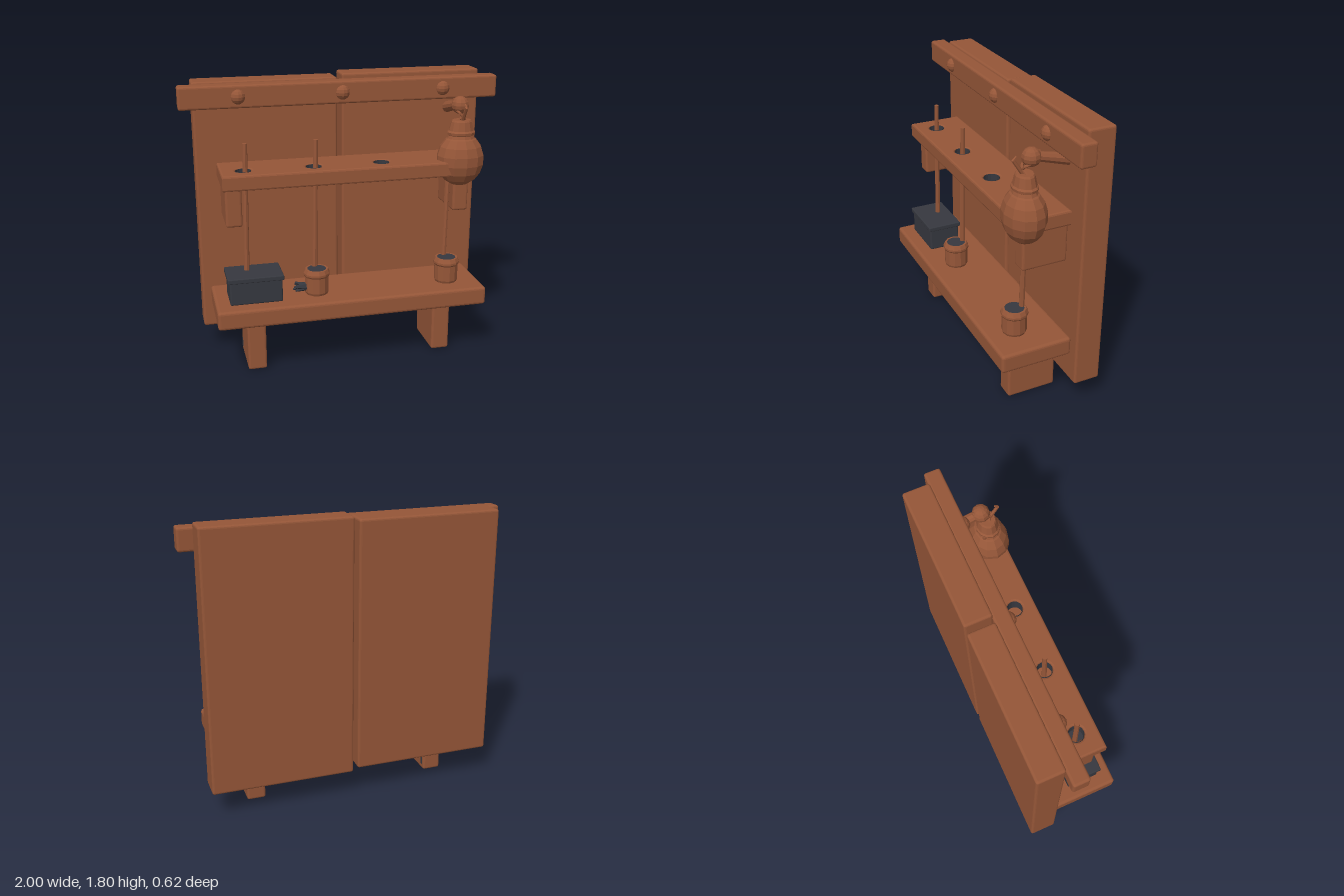
import * as THREE from 'three';
import { RoundedBoxGeometry } from 'three/addons/geometries/RoundedBoxGeometry.js';

export function createModel() {
  const model = new THREE.Group();
  model.name = 'wallRack';
  const wood = new THREE.MeshStandardMaterial({ color: 0x955638, flatShading: true });
  wood.name = 'wood';
  const dark = new THREE.MeshStandardMaterial({ color: 0x36383f, flatShading: true });
  dark.name = 'charcoal';
  const lining = dark.clone();
  lining.name = 'charcoal lining';
  lining.side = THREE.DoubleSide;

  const add = (name, geometry, material = wood, parent = model) => {
    const mesh = new THREE.Mesh(geometry, material);
    mesh.name = name;
    parent.add(mesh);
    return mesh;
  };
  // Rounded block given by its limits on each axis
  const block = (name, x0, x1, y0, y1, z0, z1, material = wood, r = 0.014) => {
    const mesh = add(name, new RoundedBoxGeometry(x1 - x0, y1 - y0, z1 - z0, 2, r), material);
    mesh.position.set((x0 + x1) / 2, (y0 + y1) / 2, (z0 + z1) / 2);
    return mesh;
  };
  // Straight tapered rod between two points
  const rod = (name, a, b, ra, rb, material = wood, sides = 8) => {
    const p = new THREE.Vector3(...a), q = new THREE.Vector3(...b);
    const d = q.clone().sub(p);
    const mesh = add(name, new THREE.CylinderGeometry(rb, ra, d.length(), sides), material);
    mesh.position.copy(p).add(q).multiplyScalar(0.5);
    mesh.quaternion.setFromUnitVectors(new THREE.Vector3(0, 1, 0), d.normalize());
    return mesh;
  };
  const lathe = (name, points, sides) =>
    add(name, new THREE.LatheGeometry(points.map(p => new THREE.Vector2(...p)), sides));

  // Back boards and top rail
  block('leftBoard', -0.912, -0.018, 0.19, 1.78, -0.31, -0.14);
  block('rightBoard', 0.012, 0.91, 0.17, 1.8, -0.31, -0.14);
  block('topRail', -1, 1, 1.63, 1.77, -0.145, -0.045);
  for (const x of [-0.645, -0.005, 0.64]) {
    add('railKnob', new THREE.SphereGeometry(0.048, 12, 8)).position.set(x, 1.7, -0.062);
  }

  // Bottom shelf and legs
  block('bottomShelf', -0.857, 0.852, 0.355, 0.473, -0.14, 0.31, wood, 0.018);
  for (const x of [-0.61, 0.603]) block('leg', x - 0.059, x + 0.059, 0, 0.36, -0.145, 0.172);
  block('legInset', -0.672, -0.548, 0.03, 0.09, -0.125, -0.1, dark, 0.005);

  // Upper shelf with tool holes
  const holeXs = [-0.645, -0.217, 0.21, 0.64], holeZ = 0.073, b = 0.012;
  const outline = new THREE.Shape();
  outline.moveTo(-0.785, -0.14).lineTo(0.785, -0.14).lineTo(0.785, 0.2).lineTo(-0.785, 0.2).closePath();
  for (const x of holeXs) {
    outline.holes.push(new THREE.Path().absarc(x, holeZ, 0.05, 0, Math.PI * 2, true));
  }
  const shelfGeometry = new THREE.ExtrudeGeometry(outline, {
    depth: 0.095 - 2 * b, bevelEnabled: true, bevelThickness: b, bevelSize: b,
    bevelOffset: -b, bevelSegments: 2, curveSegments: 8,
  });
  shelfGeometry.rotateX(Math.PI / 2);
  add('upperShelf', shelfGeometry).position.y = 1.283 - b;
  for (const x of holeXs) {
    add('holeLining', new THREE.CylinderGeometry(0.048, 0.048, 0.088, 16, 1, true), lining)
      .position.set(x, 1.236, holeZ);
  }
  for (const x of [-0.718, 0.712]) block('bracket', x - 0.05, x + 0.05, 0.95, 1.2, -0.135, 0.148);

  // Rods hanging through the holes
  for (const x of [-0.65, -0.222, 0.636]) {
    rod('toolRod', [x, 0.56, 0.082], [x + 0.019, 1.445, 0.076], 0.018, 0.015);
  }

  // Dark lidded box
  block('boxBody', -0.77, -0.447, 0.473, 0.63, 0.012, 0.22, dark, 0.01);
  block('boxLid', -0.782, -0.438, 0.617, 0.648, 0.002, 0.23, dark, 0.006);

  // Jars with dark contents
  for (const x of [-0.217, 0.64]) {
    lathe('jar', [[0, 0], [0.07, 0], [0.076, 0.015], [0.076, 0.115], [0.083, 0.125],
      [0.083, 0.138], [0.072, 0.162], [0.06, 0.162], [0.058, 0.152]], 12)
      .position.set(x, 0.474, 0.13);
    add('jarContents', new THREE.CylinderGeometry(0.061, 0.061, 0.006, 12), dark)
      .position.set(x, 0.632, 0.13);
  }

  // Ragged bristle head beside the jar
  for (let i = 0; i < 5; i++) {
    const a = i * Math.PI * 2 / 5;
    rod('bristle', [-0.275, 0.52, 0.13],
      [-0.355 - 0.01 * (i % 2), 0.525 + 0.028 * Math.cos(a), 0.13 + 0.03 * Math.sin(a)],
      0.028, 0.006, dark, 5);
  }

  // Peg for the gourd
  rod('peg', [0.71, 1.56, -0.15], [0.71, 1.62, 0.08], 0.036, 0.027, wood, 10);
  add('pegKnob', new THREE.SphereGeometry(0.055, 10, 8)).position.set(0.71, 1.615, 0.082);

  // Gourd flask: faceted body, collar, tapered neck
  const gourd = new THREE.Group();
  gourd.name = 'gourd';
  gourd.position.set(0.71, 0, 0.118);
  gourd.scale.z = 0.82;
  model.add(gourd);
  const body = new THREE.SphereGeometry(0.153, 12, 9);
  body.scale(1, 1.1, 1);
  add('gourdBody', body, wood, gourd).position.y = 1.28;
  gourd.add(lathe('gourdNeck', [[0.09, 1.41], [0.078, 1.435], [0.088, 1.44], [0.09, 1.455],
    [0.08, 1.465], [0.066, 1.52], [0.058, 1.53], [0, 1.53]], 12));

  // Cord loop and bent stopper
  for (const s of [-1, 1]) {
    const cord = new THREE.CatmullRomCurve3([
      new THREE.Vector3(0.71 + s * 0.03, 1.52, 0.12), new THREE.Vector3(0.71 - s * 0.015, 1.57, 0.13),
      new THREE.Vector3(0.71 - s * 0.035, 1.6, 0.06), new THREE.Vector3(0.71, 1.645, 0.035)]);
    add('cord', new THREE.TubeGeometry(cord, 12, 0.008, 6));
  }
  rod('stopperStem', [0.71, 1.52, 0.128], [0.71, 1.615, 0.19], 0.012, 0.01, wood, 6);
  rod('stopperTip', [0.71, 1.61, 0.191], [0.71, 1.635, 0.17], 0.01, 0.005, wood, 6);

  return model;
}
